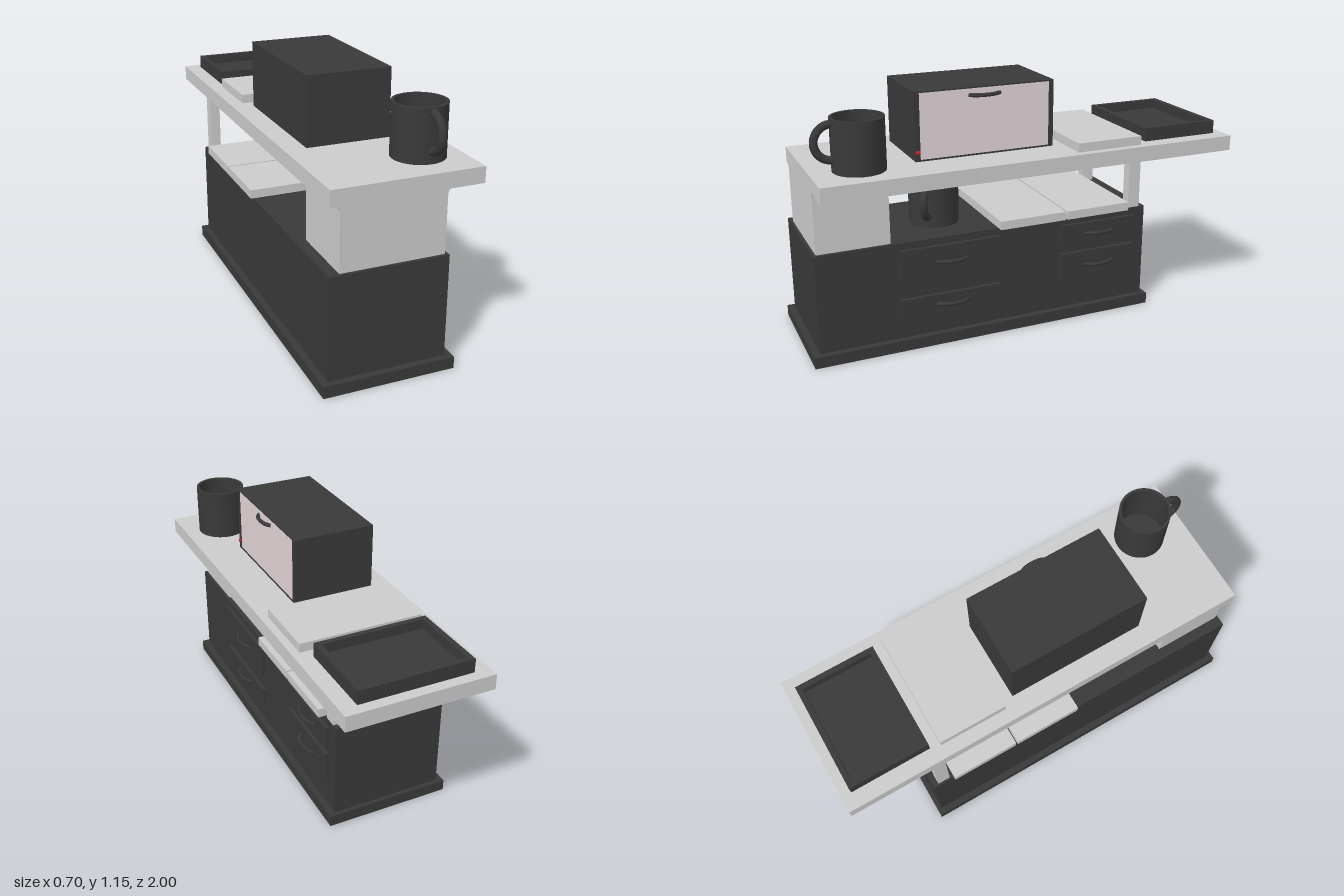
import * as THREE from 'three';

const grey = new THREE.MeshStandardMaterial({ color: 0xcccccc });
const dark = new THREE.MeshStandardMaterial({ color: 0x393939 });
const darkOpen = new THREE.MeshStandardMaterial({ color: 0x393939, side: THREE.DoubleSide });
const pink = new THREE.MeshStandardMaterial({ color: 0xe2d4d8 });
const red = new THREE.MeshStandardMaterial({ color: 0xcc2222 });

export function createModel() {
  const model = new THREE.Group();
  model.name = 'kitchenCounter';

  const add = (name, geometry, material, parent = model) => {
    const mesh = new THREE.Mesh(geometry, material);
    mesh.name = name;
    parent.add(mesh);
    return mesh;
  };

  // Box given by its limits on each axis
  const box = (name, [x0, x1], [y0, y1], [z0, z1], material, parent) => {
    const mesh = add(name, new THREE.BoxGeometry(x1 - x0, y1 - y0, z1 - z0), material, parent);
    mesh.position.set((x0 + x1) / 2, (y0 + y1) / 2, (z0 + z1) / 2);
    return mesh;
  };

  // Upright support whose sides curve outwards under the worktop
  const support = (name, x0, x1, z0, z1, flareLeft, flareRight) => {
    const bottom = 0.505, top = 0.78, r = 0.022;
    const s = new THREE.Shape();
    s.moveTo(x0, bottom);
    s.lineTo(x1, bottom);
    s.lineTo(x1, top - r);
    s.quadraticCurveTo(x1, top, x1 + flareRight, top);
    s.lineTo(x0 - flareLeft, top);
    s.quadraticCurveTo(x0, top, x0, top - r);
    s.closePath();
    const g = new THREE.ExtrudeGeometry(s, { depth: z1 - z0, bevelEnabled: false, curveSegments: 8 });
    add(name, g, grey).position.z = z0;
  };

  // Bowed bar handle facing +x
  const barHandle = (name, x, y, z, halfLength, reach, radius, parent) => {
    const curve = new THREE.CatmullRomCurve3([
      new THREE.Vector3(0, 0, halfLength),
      new THREE.Vector3(reach * 0.75, 0, halfLength * 0.6),
      new THREE.Vector3(reach, 0, 0),
      new THREE.Vector3(reach * 0.75, 0, -halfLength * 0.6),
      new THREE.Vector3(0, 0, -halfLength),
    ]);
    add(name, new THREE.TubeGeometry(curve, 24, radius, 10), dark, parent).position.set(x, y, z);
  };

  // Cabinet
  box('plinth', [-0.35, 0.23], [0, 0.052], [-0.655, 1], dark);
  box('cabinetBody', [-0.32, 0.2], [0.052, 0.505], [-0.635, 0.97], dark);

  // Drawers: y limits and z limits
  const drawers = [
    [[0.33, 0.472], [0.125, 0.6]],
    [[0.152, 0.24], [0.125, 0.6]],
    [[0.37, 0.47], [-0.57, -0.185]],
    [[0.197, 0.328], [-0.57, -0.185]],
  ];
  for (const [ys, zs] of drawers) {
    const drawer = new THREE.Group();
    drawer.name = 'drawer';
    model.add(drawer);
    box('drawerFront', [0.2, 0.216], ys, zs, dark, drawer);
    const y = ys[0] + (ys[1] - ys[0]) * 0.48;
    barHandle('drawerHandle', 0.212, y, (zs[0] + zs[1]) / 2 - 0.005, 0.077, 0.026, 0.009, drawer);
  }

  // Worktop and its supports
  box('worktop', [-0.31, 0.35], [0.78, 0.85], [-1, 0.957], grey);
  support('supportBlock', -0.27, 0.186, 0.63, 0.957, 0.04, 0.016);
  support('rearPostLeft', -0.31, -0.262, -0.607, -0.547, 0, 0.016);
  support('rearPostRight', 0.15, 0.198, -0.607, -0.547, 0.016, 0.014);

  // Flat boards on both levels
  box('lowerBoardFront', [-0.333, 0.23], [0.505, 0.545], [-0.198, 0.128], grey);
  box('lowerBoardBack', [-0.333, 0.23], [0.505, 0.545], [-0.53, -0.207], grey);
  box('upperBoard', [-0.25, 0.315], [0.85, 0.891], [-0.53, -0.21], grey);

  // Tray: floor and four walls
  const tray = new THREE.Group();
  tray.name = 'tray';
  model.add(tray);
  const tx = [-0.238, 0.276], tz = [-0.952, -0.577], ty = [0.85, 0.912], w = 0.025;
  box('trayFloor', tx, [0.85, 0.868], tz, dark, tray);
  box('trayWall', [tx[0], tx[0] + w], ty, tz, dark, tray);
  box('trayWall', [tx[1] - w, tx[1]], ty, tz, dark, tray);
  box('trayWall', [tx[0] + w, tx[1] - w], ty, [tz[0], tz[0] + w], dark, tray);
  box('trayWall', [tx[0] + w, tx[1] - w], ty, [tz[1] - w, tz[1]], dark, tray);

  // Small oven with a pale door in a dark frame
  const oven = new THREE.Group();
  oven.name = 'oven';
  model.add(oven);
  box('ovenBody', [-0.214, 0.155], [0.85, 1.155], [-0.155, 0.497], dark, oven);
  box('ovenDoor', [0.155, 0.162], [0.857, 1.149], [-0.133, 0.475], pink, oven);
  for (const zs of [[-0.155, -0.133], [0.475, 0.497]])
    box('ovenFrameSide', [0.155, 0.165], [0.85, 1.155], zs, dark, oven);
  for (const ys of [[0.85, 0.857], [1.149, 1.155]])
    box('ovenFrameRail', [0.155, 0.165], ys, [-0.133, 0.475], dark, oven);
  barHandle('ovenHandle', 0.158, 1.119, 0.175, 0.072, 0.024, 0.009, oven);
  const button = add('ovenButton', new THREE.SphereGeometry(0.01, 12, 8), red, oven);
  button.position.set(0.164, 0.89, 0.486);

  // Mug with its handle facing +z before turning
  const mug = (name, x, y, z, turn) => {
    const group = new THREE.Group();
    group.name = name;
    group.position.set(x, y, z);
    group.rotation.y = turn;
    model.add(group);
    // Corners are doubled to keep the edges crisp
    const profile = [[0, 0], [0.115, 0], [0.115, 0.0005], [0.115, 0.2295], [0.115, 0.23], [0.103, 0.23],
      [0.103, 0.2295], [0.103, 0.0155], [0.103, 0.015], [0, 0.015]].map(p => new THREE.Vector2(...p));
    add('mugCup', new THREE.LatheGeometry(profile, 40), darkOpen, group);
    const handle = add('mugHandle', new THREE.TorusGeometry(0.077, 0.018, 12, 24, Math.PI), dark, group);
    handle.rotation.set(0, -Math.PI / 2, -Math.PI / 2);
    // Half ring in the y-z plane, bulging towards +z
    handle.rotation.set(Math.PI / 2, Math.PI / 2, 0, 'XYZ');
    handle.position.set(0, 0.13, 0.108);
  };
  mug('upperMug', 0.165, 0.85, 0.745, 0);
  mug('lowerMug', -0.03, 0.505, 0.355, 1.0);

  return model;
}
